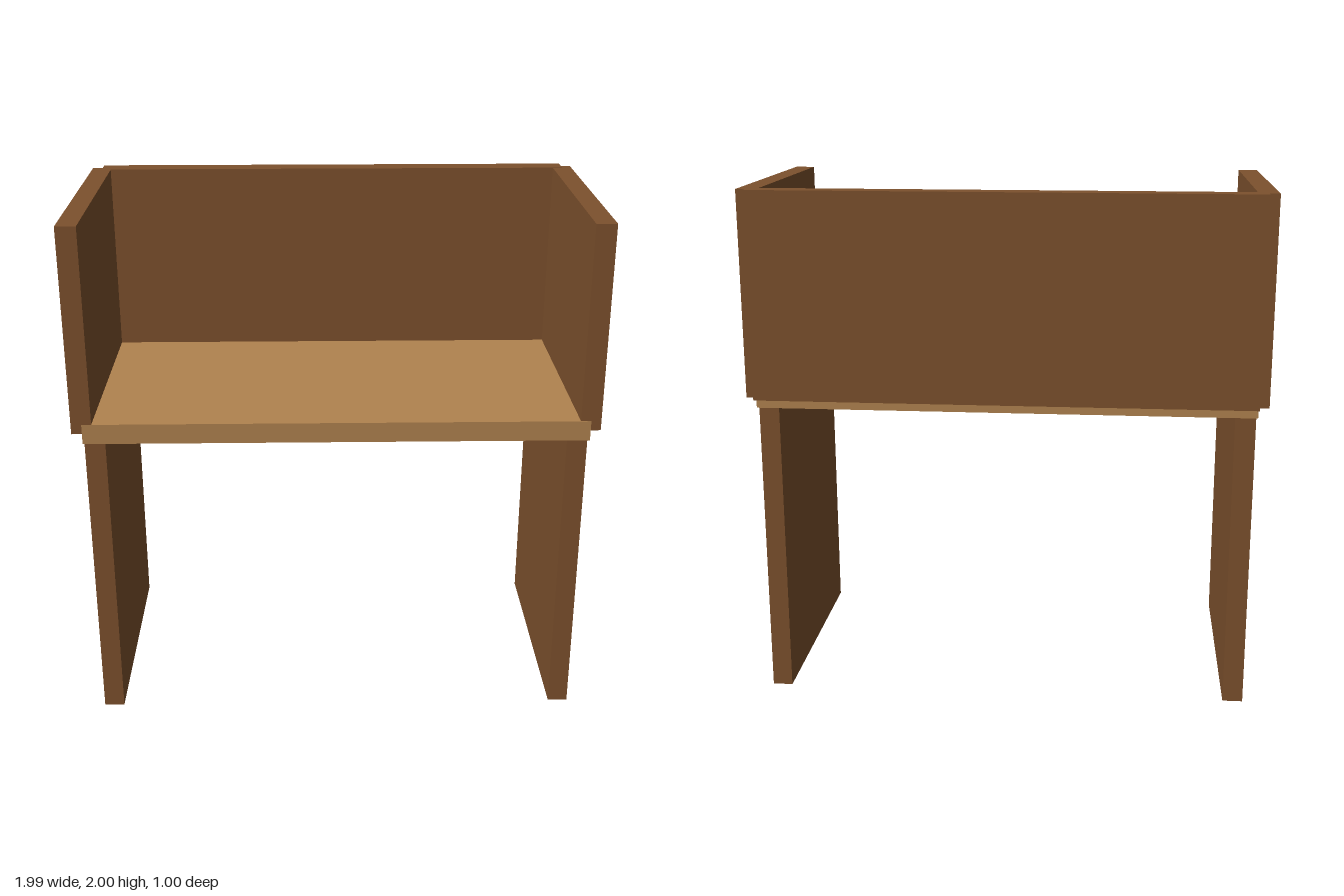
import * as THREE from 'three';

export function createModel() {
  const group = new THREE.Group();
  group.name = 'studyCarrel';

  const darkWood = new THREE.MeshStandardMaterial({ color: 0x7d512d });
  darkWood.name = 'dark wood';
  const lightWood = new THREE.MeshStandardMaterial({ color: 0xb1834f });
  lightWood.name = 'light wood';

  // Board given by its min and max corners
  function board(name, material, [x0, y0, z0], [x1, y1, z1]) {
    const geometry = new THREE.BoxGeometry(x1 - x0, y1 - y0, z1 - z0);
    const mesh = new THREE.Mesh(geometry, material);
    mesh.position.set((x0 + x1) / 2, (y0 + y1) / 2, (z0 + z1) / 2);
    mesh.name = name;
    group.add(mesh);
  }

  // Desk top, its front edge just proud of the side panels
  board('deskTop', lightWood, [-0.955, 1.165, -0.457], [0.955, 1.243, 0.5]);

  // Solid panel legs under the desk
  board('rightLeg', darkWood, [-0.948, 0, -0.457], [-0.87, 1.165, 0.5]);
  board('leftLeg', darkWood, [0.868, 0, -0.457], [0.945, 1.165, 0.5]);

  // Privacy screen: two sides and a back, standing around the desk top
  board('rightScreen', darkWood, [-0.995, 1.205, -0.458], [-0.918, 1.999, 0.498]);
  board('leftScreen', darkWood, [0.916, 1.205, -0.458], [0.993, 1.999, 0.498]);
  board('backScreen', darkWood, [-0.955, 1.205, -0.5], [0.955, 2, -0.42]);

  return group;
}
